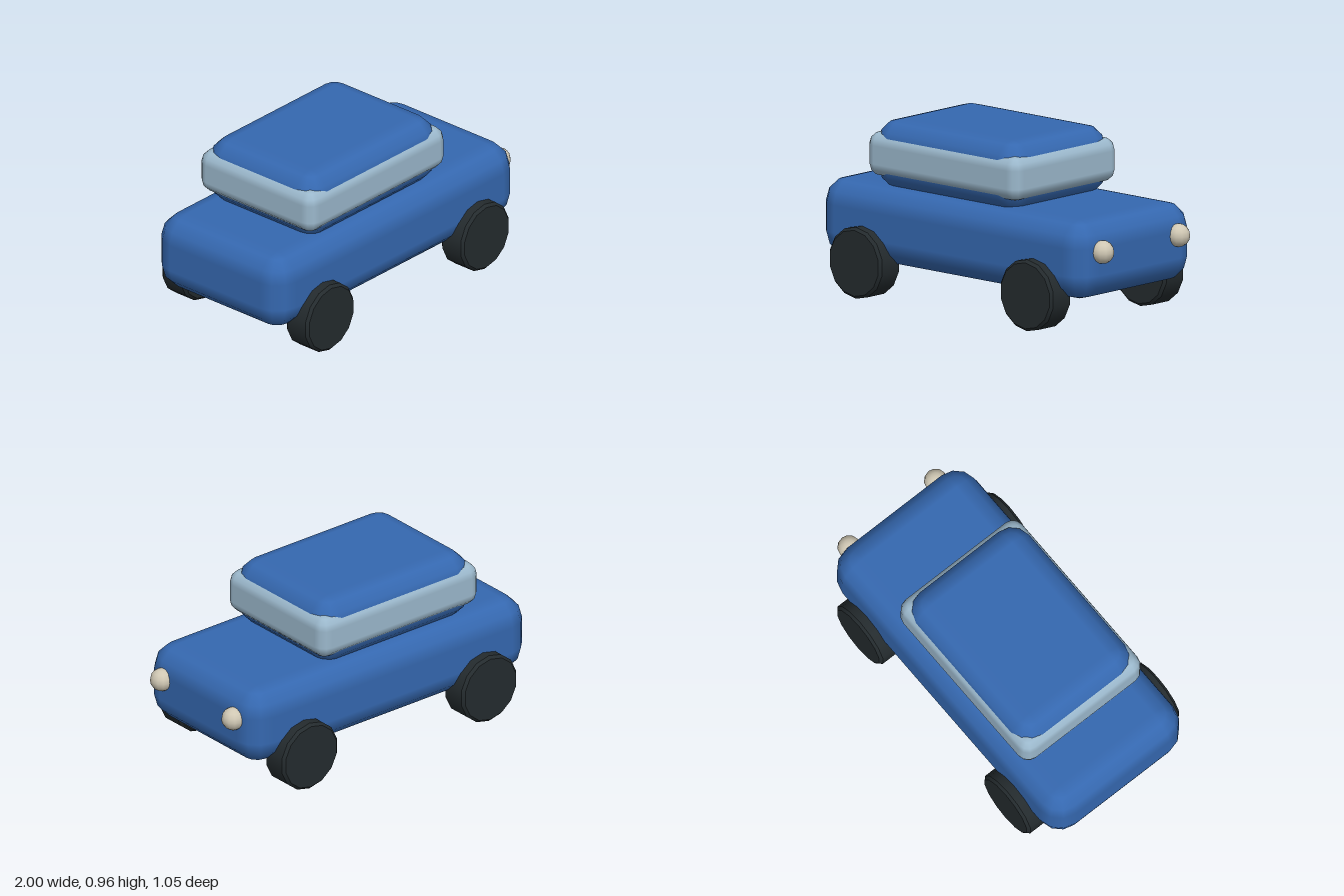
import * as THREE from 'three';

const paint = new THREE.MeshStandardMaterial({ color: 0x3568b0 });
const glass = new THREE.MeshStandardMaterial({ color: 0x9bb8cc });
const rubber = new THREE.MeshStandardMaterial({ color: 0x242b2e });
const lamp = new THREE.MeshStandardMaterial({ color: 0xd0c8b4 });

// Box with every edge rounded by a three-step arc: a sphere grid pulled apart into eight corners.
function bevelledBox(hx, hy, hz, r) {
  const geo = new THREE.SphereGeometry(1, 16, 9);
  const pos = geo.attributes.position;
  const nor = geo.attributes.normal;
  const step = Math.PI / 6;
  const signX = [-1, 1, 1, -1, -1];
  const signZ = [1, 1, -1, -1, 1];
  for (let row = 0; row <= 9; row++) {
    const top = row < 5;
    const theta = (top ? Math.max(row - 1, 0) : Math.min(row - 2, 6)) * step;
    const spread = row === 0 || row === 9 ? 0 : 1; // end rows close the flat top and bottom
    for (let col = 0; col <= 16; col++) {
      const i = row * 17 + col;
      const q = Math.floor(col / 4);
      const phi = q * Math.PI / 2 + (col % 4) * step;
      const nx = -Math.cos(phi) * Math.sin(theta);
      const ny = Math.cos(theta);
      const nz = Math.sin(phi) * Math.sin(theta);
      nor.setXYZ(i, nx, ny, nz);
      pos.setXYZ(i,
        spread * signX[q] * (hx - r) + r * nx,
        (top ? 1 : -1) * (hy - r) + r * ny,
        spread * signZ[q] * (hz - r) + r * nz);
    }
  }
  return geo;
}

// Solid tyre with a small chamfer; each profile run is its own lathe so the rims stay crisp.
function addWheel(parent, name, x, z) {
  const wheel = new THREE.Group();
  wheel.name = name;
  const R = 0.194, h = 0.08, c = 0.015;
  const runs = [
    [[0, -h], [R - c, -h]],
    [[R - c, -h], [R, -h + c]],
    [[R, -h + c], [R, h - c]],
    [[R, h - c], [R - c, h]],
    [[R - c, h], [0, h]],
  ];
  for (const run of runs) {
    const geo = new THREE.LatheGeometry(run.map(([a, b]) => new THREE.Vector2(a, b)), 14);
    geo.rotateX(Math.PI / 2);
    const part = new THREE.Mesh(geo, rubber);
    part.name = 'tyreSurface';
    wheel.add(part);
  }
  wheel.position.set(x, 0.195, z);
  parent.add(wheel);
}

export function createModel() {
  const car = new THREE.Group();
  car.name = 'car';
  const add = (name, geo, mat, x, y, z) => {
    const mesh = new THREE.Mesh(geo, mat);
    mesh.name = name;
    mesh.position.set(x, y, z);
    car.add(mesh);
  };

  // Body, cabin and the window band wrapped around the cabin
  add('body', bevelledBox(0.965, 0.215, 0.46, 0.14), paint, -0.035, 0.395, 0);
  add('cabin', bevelledBox(0.53, 0.19, 0.4, 0.13), paint, -0.14, 0.77, 0);
  add('windowBand', bevelledBox(0.55, 0.12, 0.41, 0.07), glass, -0.14, 0.77, 0);

  // Headlights and wheels on both sides
  for (const side of [1, -1]) {
    const label = side > 0 ? 'Near' : 'Far';
    add('headlight' + label, new THREE.SphereGeometry(0.063, 12, 8), lamp, 0.935, 0.448, side * 0.297);
    addWheel(car, 'frontWheel' + label, 0.583, side * 0.443);
    addWheel(car, 'rearWheel' + label, -0.654, side * 0.443);
  }
  return car;
}
